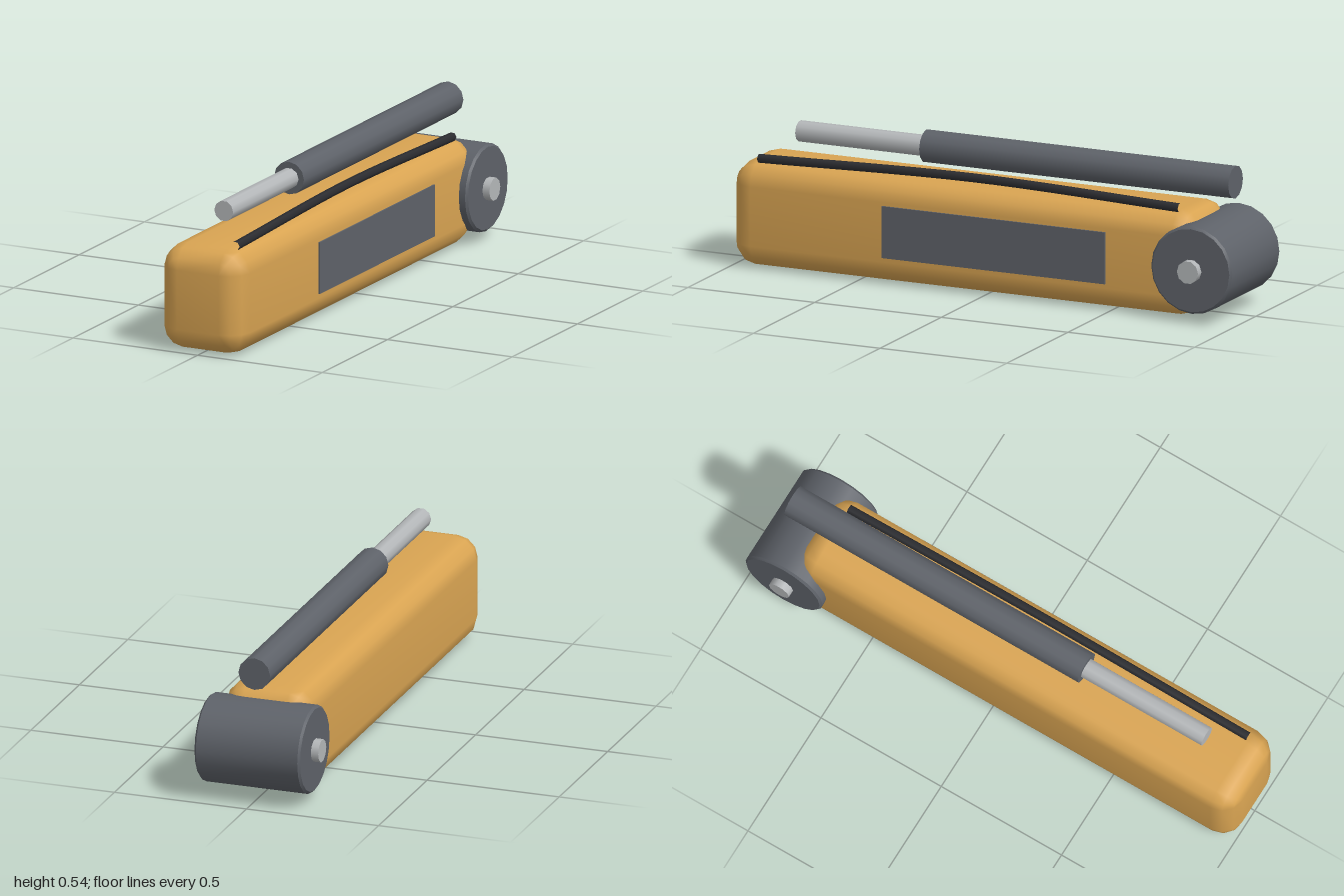
import * as THREE from 'three';
import { mergeVertices, toCreasedNormals } from 'three/addons/utils/BufferGeometryUtils.js';

const material = (name, color, side = THREE.FrontSide) =>
  new THREE.MeshStandardMaterial({ name, color, side });

// Box with rounded edges: a sphere grid whose octants are pushed out to the box corners
function roundedBox(w, h, d, r, steps) {
  const lat = [], lon = [];
  for (let i = 0; i <= steps; i++) lat.push({ a: -Math.PI / 2 + (i / steps) * Math.PI / 2, s: -1 });
  for (let i = 0; i <= steps; i++) lat.push({ a: (i / steps) * Math.PI / 2, s: 1 });
  const corners = [[1, 1], [-1, 1], [-1, -1], [1, -1]];
  corners.forEach(([sx, sy], q) => {
    for (let i = 0; i <= steps; i++) lon.push({ a: (q + i / steps) * Math.PI / 2, sx, sy });
  });
  const n = lon.length, pos = [], index = [];
  for (const { a, s } of lat) {
    for (const { a: b, sx, sy } of lon) {
      pos.push(
        sx * (w / 2 - r) + r * Math.cos(a) * Math.cos(b),
        sy * (h / 2 - r) + r * Math.cos(a) * Math.sin(b),
        s * (d / 2 - r) + r * Math.sin(a));
    }
  }
  for (let j = 0; j < lat.length - 1; j++) {
    for (let i = 0; i < n; i++) {
      const a = j * n + i, b = j * n + (i + 1) % n;
      index.push(a, b, b + n, a, b + n, a + n);
    }
  }
  // flat ends, fanned from their middles
  const back = pos.length / 3, front = back + 1, last = (lat.length - 1) * n;
  pos.push(0, 0, -d / 2, 0, 0, d / 2);
  for (let i = 0; i < n; i++) {
    const k = (i + 1) % n;
    index.push(back, k, i, front, last + i, last + k);
  }
  const g = new THREE.BufferGeometry();
  g.setAttribute('position', new THREE.Float32BufferAttribute(pos, 3));
  g.setIndex(index);
  const merged = mergeVertices(g, 1e-4);
  merged.computeVertexNormals();
  return merged;
}

export function createModel() {
  const model = new THREE.Group();
  const paint = material('ochre paint', 0xd9a452);
  const steel = material('dark grey steel', 0x5e6269);
  const chrome = material('light grey metal', 0xb4b7b9);
  const rubber = material('black rubber', 0x2c2d31);

  const add = (name, geometry, mat, x, y, z) => {
    const mesh = new THREE.Mesh(geometry, mat);
    mesh.name = name;
    mesh.position.set(x, y, z);
    model.add(mesh);
    return mesh;
  };

  // Arm body
  add('armBody', roundedBox(0.334, 0.386, 1.83, 0.084, 3), paint, 0, 0.193, 0.085);

  // Pivot drum with slightly bevelled rims, and the pin through it
  const R = 0.16, W = 0.2, bevel = 0.008;
  const profile = [[0, -W], [R - bevel, -W], [R, -W + bevel], [R, W - bevel], [R - bevel, W], [0, W]]
    .map(([x, y]) => new THREE.Vector2(x, y));
  const drum = toCreasedNormals(new THREE.LatheGeometry(profile, 20), 0.5);
  add('pivotDrum', drum.rotateZ(Math.PI / 2), steel, 0, 0.195, -0.84);
  const pin = new THREE.CylinderGeometry(0.042, 0.042, 0.456, 10);
  add('pivotPin', pin.rotateZ(Math.PI / 2), chrome, 0, 0.194, -0.84);

  // Hydraulic cylinder and its rod
  const barrel = new THREE.CylinderGeometry(0.06, 0.06, 1.22, 12);
  add('hydraulicBarrel', barrel.rotateX(Math.PI / 2), steel, 0, 0.483, -0.31);
  const rod = new THREE.CylinderGeometry(0.038, 0.038, 0.6, 10, 1, false, Math.PI / 2);
  add('hydraulicRod', rod.rotateX(Math.PI / 2), chrome, 0, 0.483, 0.5);

  // Hose arched along the top
  const path = new THREE.CatmullRomCurve3([
    new THREE.Vector3(0.105, 0.394, 0.91),
    new THREE.Vector3(0.105, 0.415, 0.05),
    new THREE.Vector3(0.105, 0.394, -0.75),
  ]);
  add('hose', new THREE.TubeGeometry(path, 16, 0.0165, 6), rubber, 0, 0, 0);

  // Side panel on the left flank
  add('sidePanel', new THREE.BoxGeometry(0.008, 0.19, 0.88), steel, 0.169, 0.195, -0.047);

  return model;
}
